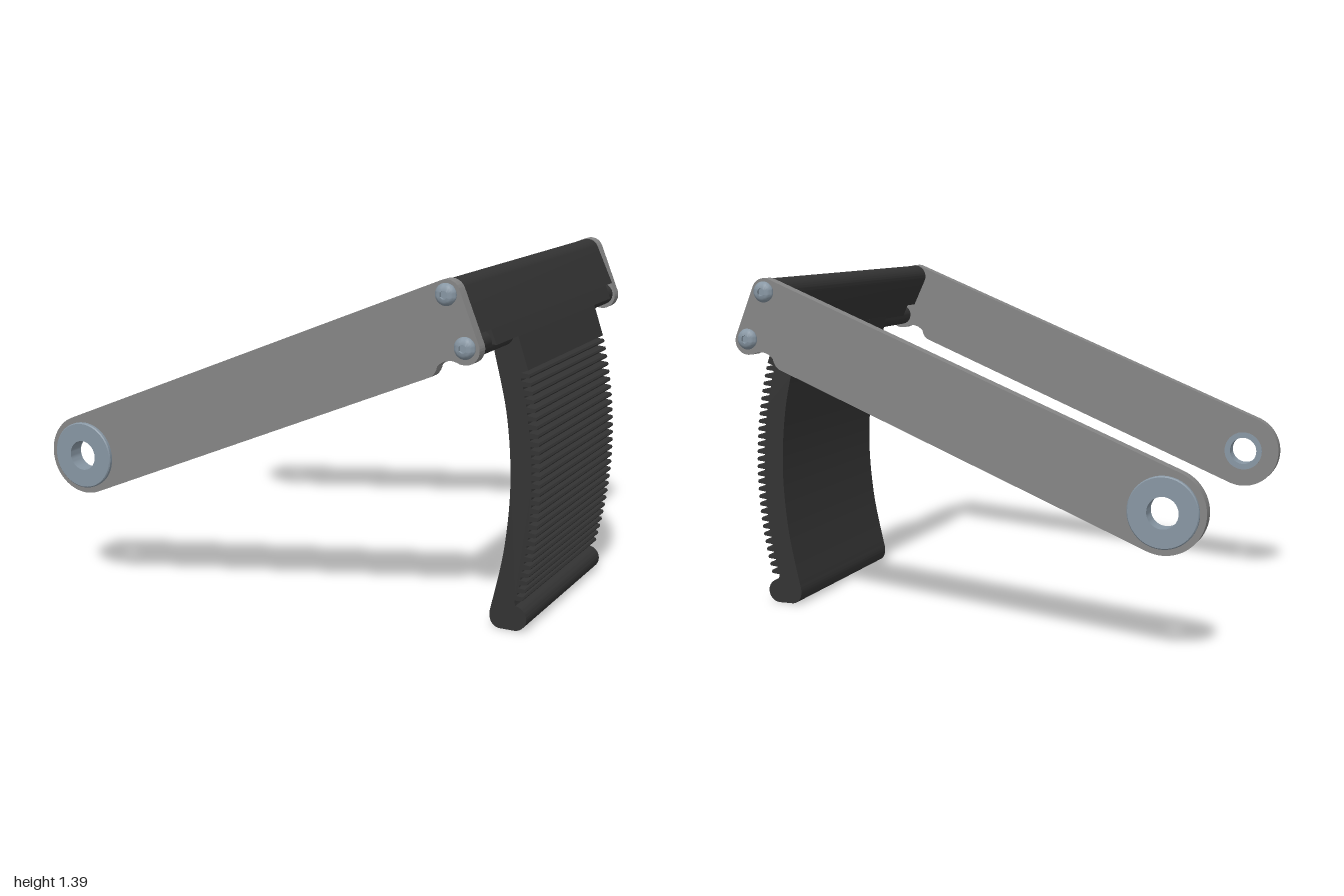
import * as THREE from 'three';
import { toCreasedNormals } from 'three/addons/utils/BufferGeometryUtils.js';

const rad = THREE.MathUtils.degToRad;
const paint = (color) => new THREE.MeshStandardMaterial({ color });
const V = (x, y) => new THREE.Vector2(x, y);

export function createModel() {
  const model = new THREE.Group();
  const steel = paint(0x858585), rubber = paint(0x333333), metal = paint(0x8796a3);

  function add(name, geometry, material, parent = model) {
    const mesh = new THREE.Mesh(toCreasedNormals(geometry, 0.5), material);
    mesh.name = name;
    parent.add(mesh);
    return mesh;
  }
  // Extrude a side profile between two z values
  function slab(name, shape, z0, z1, material) {
    const g = new THREE.ExtrudeGeometry(shape, { depth: z1 - z0, bevelEnabled: false, curveSegments: 24 });
    return add(name, g.translate(0, 0, z0), material);
  }

  // Pivots shared by the arms, the fasteners and the pedal
  const hub = V(-0.84, 0.57), upper = V(0.76, 1.335), lower = V(0.835, 1.15);

  // Side arm: round hub, straight edges, notch under the pedal end
  const arm = new THREE.Shape();
  arm.absarc(hub.x, hub.y, 0.16, rad(112), rad(292), false);
  arm.lineTo(0.70, 1.033);
  arm.quadraticCurveTo(0.722, 1.045, 0.728, 1.075);
  arm.quadraticCurveTo(0.765, 1.115, 0.815, 1.09);
  arm.absarc(lower.x, 1.143, 0.055, rad(-95), rad(21), false);
  arm.absarc(upper.x, upper.y, 0.053, rad(21), rad(112), false);
  arm.closePath();
  const bore = new THREE.Path();
  bore.absarc(hub.x, hub.y, 0.085, 0, Math.PI * 2, true);
  arm.holes.push(bore);

  // Turned profiles, base at y = 0
  const bushing = [V(0.06, 0), V(0.085, 0), V(0.085, 0.051), V(0.135, 0.051), V(0.135, 0.063),
    V(0.131, 0.067), V(0.06, 0.067), V(0.06, 0)];
  const dome = [V(0.04, 0), V(0.041, 0.006), V(0.038, 0.013), V(0.033, 0.019), V(0.026, 0.024), V(0.015, 0.026)];
  const socket = [V(0.018, 0.026), V(0.018, 0.01), V(0, 0.01)];

  for (const [side, s] of [['left', 1], ['right', -1]]) {
    const front = s > 0;
    slab(`${front ? 'front' : 'back'}Arm`, arm, front ? 0.725 : -0.775, front ? 0.775 : -0.725, steel);

    const ring = add('bushing', new THREE.LatheGeometry(bushing, 48), metal);
    ring.position.set(hub.x, hub.y, s * 0.724);
    ring.rotation.x = s * Math.PI / 2;

    for (const p of [upper, lower]) {
      const screw = new THREE.Group();
      screw.name = 'screw';
      add('screwHead', new THREE.LatheGeometry(dome, 32), metal, screw);
      add('hexSocket', new THREE.LatheGeometry(socket, 6), metal, screw);
      screw.position.set(p.x, p.y, s * 0.775);
      screw.rotation.x = s * Math.PI / 2;
      model.add(screw);
    }
  }

  // Cross bar between the arms, rounded along its top edge
  const bar = new THREE.Shape();
  bar.absarc(upper.x, upper.y, 0.05, rad(25), rad(200), false);
  bar.lineTo(0.768, 1.2);
  bar.lineTo(0.876, 1.2);
  bar.closePath();
  slab('crossBar', bar, -0.725, 0.725, rubber);

  // Shorter lip below the bar
  const lip = new THREE.Shape([V(0.876, 1.2), V(0.768, 1.2), V(0.79, 1.15), V(0.898, 1.145)]);
  slab('barLip', lip, -0.64, 0.64, rubber);

  // Tube that takes the lower screws
  const rod = new THREE.CylinderGeometry(0.045, 0.045, 1.45, 32);
  rod.rotateX(Math.PI / 2).translate(lower.x, lower.y, 0);
  add('screwTube', rod, rubber);

  // Curved foot plate with a ribbed face and a rounded toe
  const plate = new THREE.Shape();
  plate.moveTo(0.898, 1.145);
  plate.lineTo(0.785, 1.16);
  plate.splineThru([V(0.805, 1.08), V(0.86, 0.84), V(0.88, 0.58), V(0.86, 0.32), V(0.81, 0.08)]);
  plate.bezierCurveTo(0.795, 0.03, 0.82, 0, 0.85, 0);
  plate.lineTo(0.91, 0);
  plate.absarc(0.907, 0.05, 0.05, rad(-90), rad(85), false);
  const ribs = 28, y0 = 0.112, y1 = 1.01, pitch = (y1 - y0) / ribs;
  const face = (y) => 1 - 0.29 * (y - 0.57) ** 2;
  for (let i = 0; i < ribs; i++) {
    const y = y0 + i * pitch, x = face(y + pitch / 2);
    plate.lineTo(x - 0.035, y);
    plate.lineTo(x - 0.035, y + pitch * 0.3);
    plate.lineTo(x - 0.004, y + pitch * 0.4);
    plate.lineTo(x, y + pitch * 0.6);
    plate.lineTo(x - 0.004, y + pitch * 0.85);
    plate.lineTo(x - 0.035, y + pitch * 0.95);
  }
  plate.lineTo(0.915, 1.01);
  plate.lineTo(0.94, 1.02);
  plate.closePath();
  slab('footPlate', plate, -0.43, 0.43, rubber);

  return model;
}
